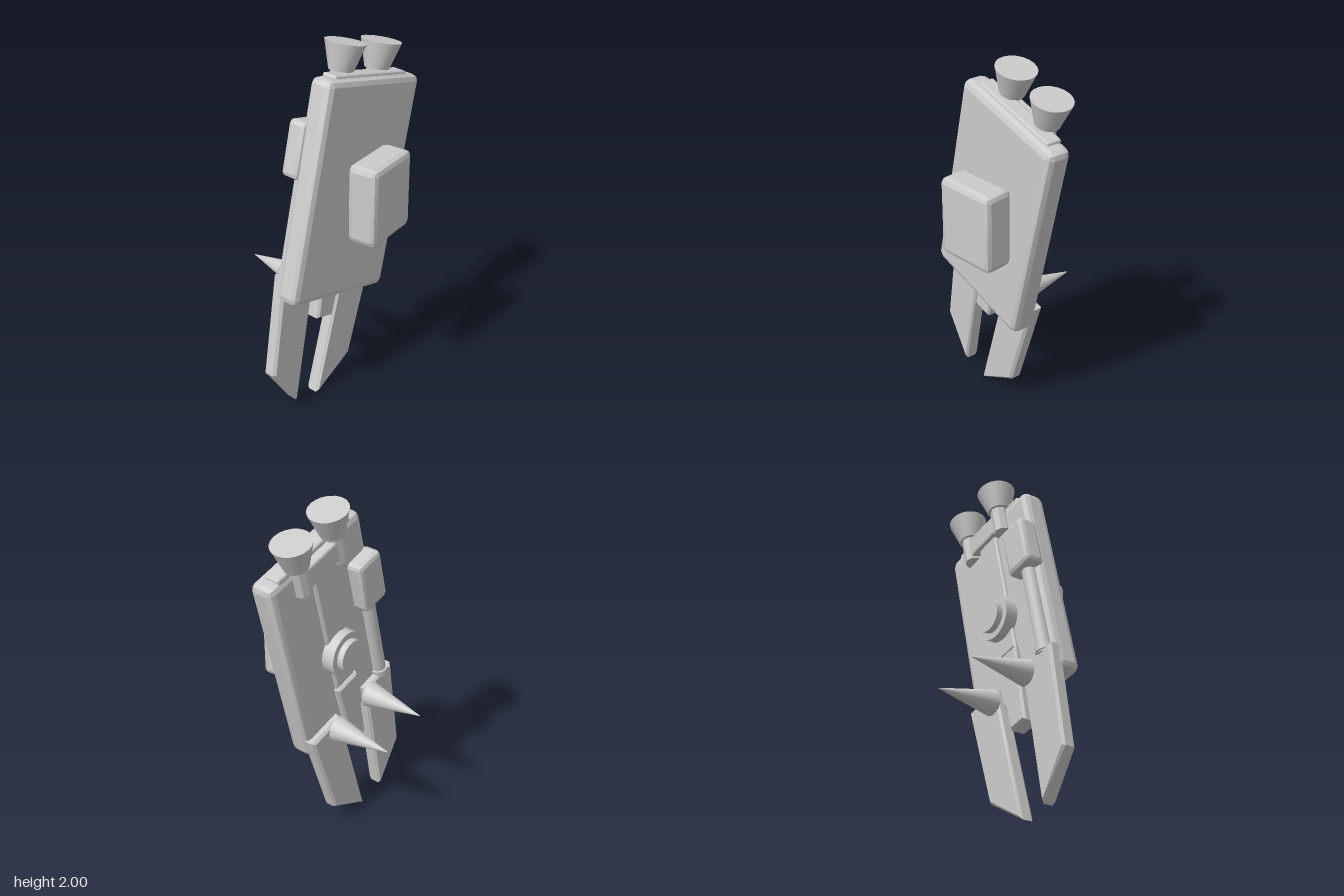
import * as THREE from 'three';
import { RoundedBoxGeometry } from 'three/addons/geometries/RoundedBoxGeometry.js';
import { toCreasedNormals } from 'three/addons/utils/BufferGeometryUtils.js';

export function createModel() {
  const model = new THREE.Group();
  model.name = 'thrusterPack';
  const grey = new THREE.MeshStandardMaterial({ color: 0xcccccc });
  grey.name = 'plain grey';

  // The whole pack leans back and is turned slightly; parts are laid out in its own frame
  const pack = new THREE.Group();
  pack.name = 'pack';
  pack.position.set(0.1, 1.22, -0.02);
  pack.rotation.set(-0.238, -0.163, 0, 'YXZ');
  model.add(pack);

  function add(name, geometry, x = 0, y = 0, z = 0, parent = pack) {
    const mesh = new THREE.Mesh(geometry, grey);
    mesh.name = name;
    mesh.position.set(x, y, z);
    parent.add(mesh);
    return mesh;
  }
  const bevelBox = (w, h, d, r) => toCreasedNormals(new RoundedBoxGeometry(w, h, d, 1, r), 0.3);
  const drum = (rTop, rBottom, h, sides = 20) =>
    toCreasedNormals(new THREE.CylinderGeometry(rTop, rBottom, h, sides), 0.6);

  // Plate drawn as [z, y] points, extruded across x0..x1 with chamfered rims
  function plate(points, x0, x1, bevel) {
    const shape = new THREE.Shape(points.map(([z, y]) => new THREE.Vector2(z, y)));
    const geometry = new THREE.ExtrudeGeometry(shape, {
      depth: x1 - x0 - 2 * bevel, bevelEnabled: true, bevelSegments: 1,
      bevelSize: bevel, bevelThickness: bevel, bevelOffset: -bevel,
    });
    geometry.rotateY(-Math.PI / 2);
    geometry.translate(x1 - bevel, 0, 0);
    return geometry;
  }

  // Main slab and the shallow plate on its top edge
  add('mainSlab', bevelBox(0.137, 1.18, 0.71, 0.035));
  add('topPlate', bevelBox(0.09, 0.05, 0.56, 0.012), -0.015, 0.58, 0);

  // Central spine on the inner face, tapering to a peg below the slab
  add('spine', plate([[-0.075, -0.3], [0.075, -0.3], [0.075, 0.56], [-0.075, 0.56]], -0.088, 0, 0.01));
  add('spineTail', plate([[-0.06, -0.74], [0.06, -0.74], [0.085, -0.3], [-0.085, -0.3]], -0.1, 0, 0.012));
  add('topBridge', bevelBox(0.06, 0.12, 0.3, 0.012), -0.08, 0.52, -0.01);

  // Stepped round hub
  add('hubBase', drum(0.125, 0.125, 0.09, 24), -0.095, -0.075, 0).rotation.z = Math.PI / 2;
  add('hubCap', drum(0.09, 0.09, 0.06, 24), -0.145, -0.075, 0).rotation.z = Math.PI / 2;

  // Front rod with its control box and end ring
  add('controlBox', bevelBox(0.112, 0.3, 0.18, 0.025), -0.095, 0.207, 0.278);
  add('rod', drum(0.04, 0.04, 0.54, 16), -0.078, -0.21, 0.277);
  add('rodRing', drum(0.05, 0.05, 0.035, 16), -0.078, -0.455, 0.277);

  // Mirrored nozzles, blades and spikes
  for (const [side, label] of [[1, 'front'], [-1, 'rear']]) {
    const z = side * 0.141 - 0.01;
    add(label + 'Nozzle', drum(0.107, 0.064, 0.145), -0.069, 0.675, z);
    add(label + 'NozzleStem', drum(0.047, 0.047, 0.17, 8), -0.075, 0.53, z);

    const outline = [[0.352, -0.46], [0.113, -0.46], [0.082, -1.232], [0.305, -1.034]];
    add(label + 'Blade', plate(outline.map(([a, y]) => [a * side, y]), -0.108, -0.028, 0.014));

    add(label + 'Spike', drum(0.002, 0.072, 0.335), -0.272, -0.517, side * 0.148 - 0.008)
      .rotation.z = Math.PI / 2;
  }

  // Upright box standing off the outer face
  add('sideBox', bevelBox(0.168, 0.43, 0.345, 0.03), 0.281, 1.215, -0.03, model).rotation.y = -0.03;

  return model;
}
